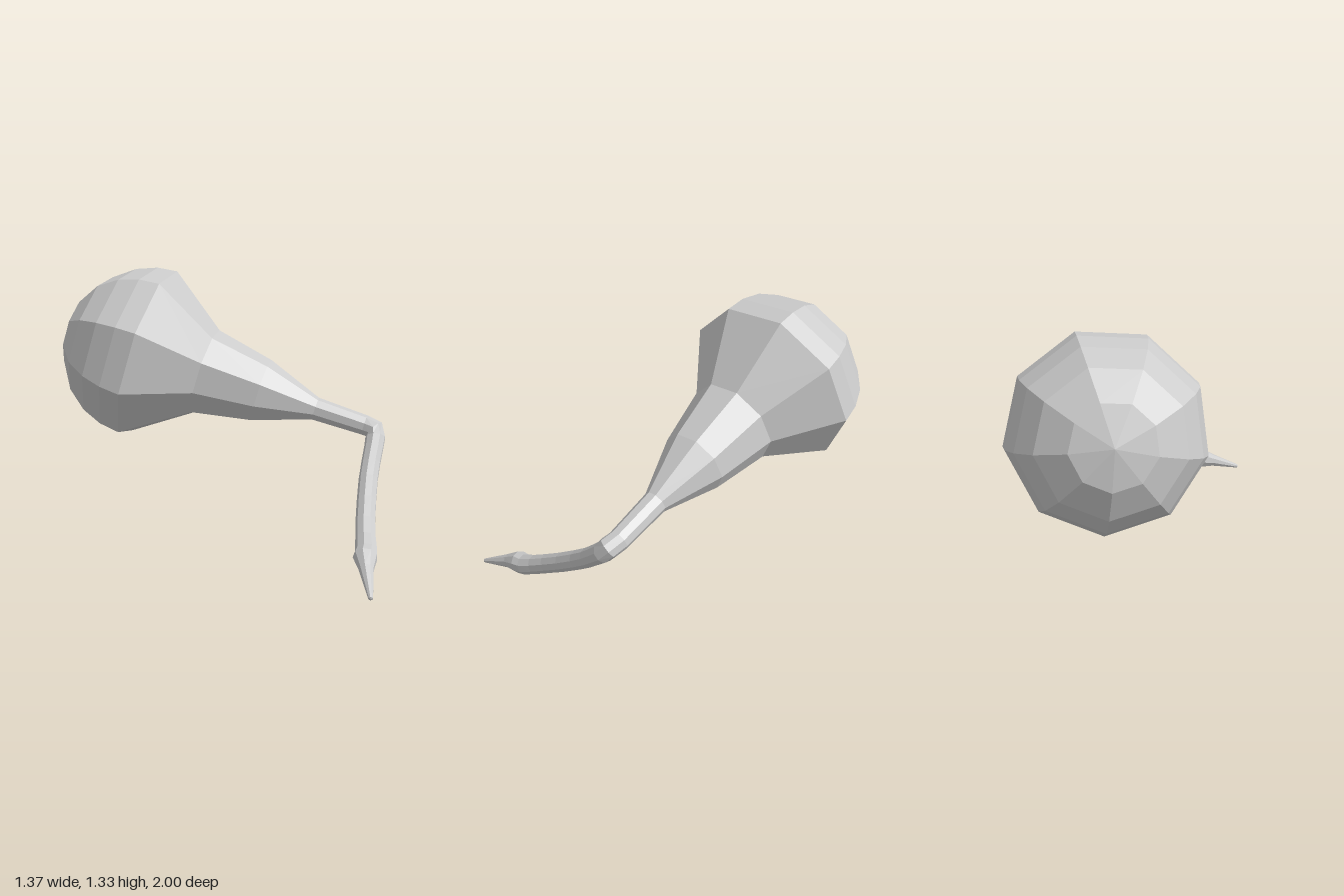
import * as THREE from 'three';

const SIDES = 9;
const v3 = (x, y, z) => new THREE.Vector3(x, y, z);

export function createModel() {
  const group = new THREE.Group();
  const material = new THREE.MeshStandardMaterial({ color: 0xcccccc, flatShading: true });

  // Straight axis of the bulb: from its widest ring down to the elbow
  const centre = v3(-0.223, 0.884, -0.538);
  const axis = v3(0.689, -0.273, 0.672).normalize();
  const R = 0.466;
  const stations = [];
  const onAxis = (t, r) => stations.push({ p: centre.clone().addScaledVector(axis, t), r, t: axis });

  // Rounded end, widest ring, then the tapering neck
  for (const deg of [90, 66, 45, 28, 13.4, 0]) {
    const a = THREE.MathUtils.degToRad(deg);
    onAxis(-R * Math.sin(a), deg === 90 ? 0 : R * Math.cos(a));
  }
  onAxis(0.319, 0.236);
  onAxis(0.633, 0.172);
  onAxis(0.933, 0.062);
  onAxis(1.2, 0.054);
  const elbow = stations.length - 1;

  // Elbow, curved stem, swollen end and pointed tip: x, y, z, radius
  const stem = [
    [0.634, 0.538, 0.318, 0.054], [0.622, 0.505, 0.342, 0.052], [0.59, 0.466, 0.37, 0.05],
    [0.535, 0.402, 0.415, 0.049], [0.475, 0.34, 0.47, 0.049], [0.402, 0.267, 0.548, 0.049],
    [0.33, 0.2, 0.63, 0.049], [0.275, 0.15, 0.7, 0.05], [0.232, 0.117, 0.758, 0.053],
    [0.198, 0.105, 0.79, 0.058], [0.155, 0.08, 0.852, 0.036], [0.068, 0.014, 0.99, 0.011],
    [0.065, 0.012, 0.994, 0],
  ];
  for (const [x, y, z, r] of stem) stations.push({ p: v3(x, y, z), r });
  stations.forEach((s, i) => {
    if (s.t) return;
    const next = stations[Math.min(i + 1, stations.length - 1)];
    s.t = next.p.clone().sub(stations[i - 1].p).normalize();
  });

  // Carry the ring orientation along the path without twist
  const u = v3(-0.112, 0.875, 0.47);
  u.addScaledVector(axis, -u.dot(axis)).normalize();
  let last = axis;
  const rings = stations.map(({ p, r, t }) => {
    u.applyQuaternion(new THREE.Quaternion().setFromUnitVectors(last, t));
    last = t;
    const w = t.clone().cross(u);
    return Array.from({ length: SIDES }, (_, j) => {
      const a = (j / SIDES) * Math.PI * 2;
      return p.clone().addScaledVector(u, r * Math.cos(a)).addScaledVector(w, r * Math.sin(a));
    });
  });

  // Skin a run of rings with flat facets
  function skin(name, from, to) {
    const pos = [];
    const tri = (...pts) => pts.forEach((q) => pos.push(q.x, q.y, q.z));
    for (let i = from; i < to; i++) {
      for (let j = 0; j < SIDES; j++) {
        const k = (j + 1) % SIDES;
        const [a, b, c, d] = [rings[i][j], rings[i][k], rings[i + 1][k], rings[i + 1][j]];
        if (stations[i].r > 0) tri(a, b, c);
        if (stations[i + 1].r > 0) tri(a, c, d);
        // Close a pointed end with its single triangle
        if (stations[i].r === 0 && stations[i + 1].r === 0) continue;
      }
    }
    const geo = new THREE.BufferGeometry();
    geo.setAttribute('position', new THREE.Float32BufferAttribute(pos, 3));
    geo.computeVertexNormals();
    const mesh = new THREE.Mesh(geo, material);
    mesh.name = name;
    group.add(mesh);
  }

  skin('bulb', 0, 6);
  skin('neck', 6, elbow);
  skin('stem', elbow, rings.length - 1);
  return group;
}
